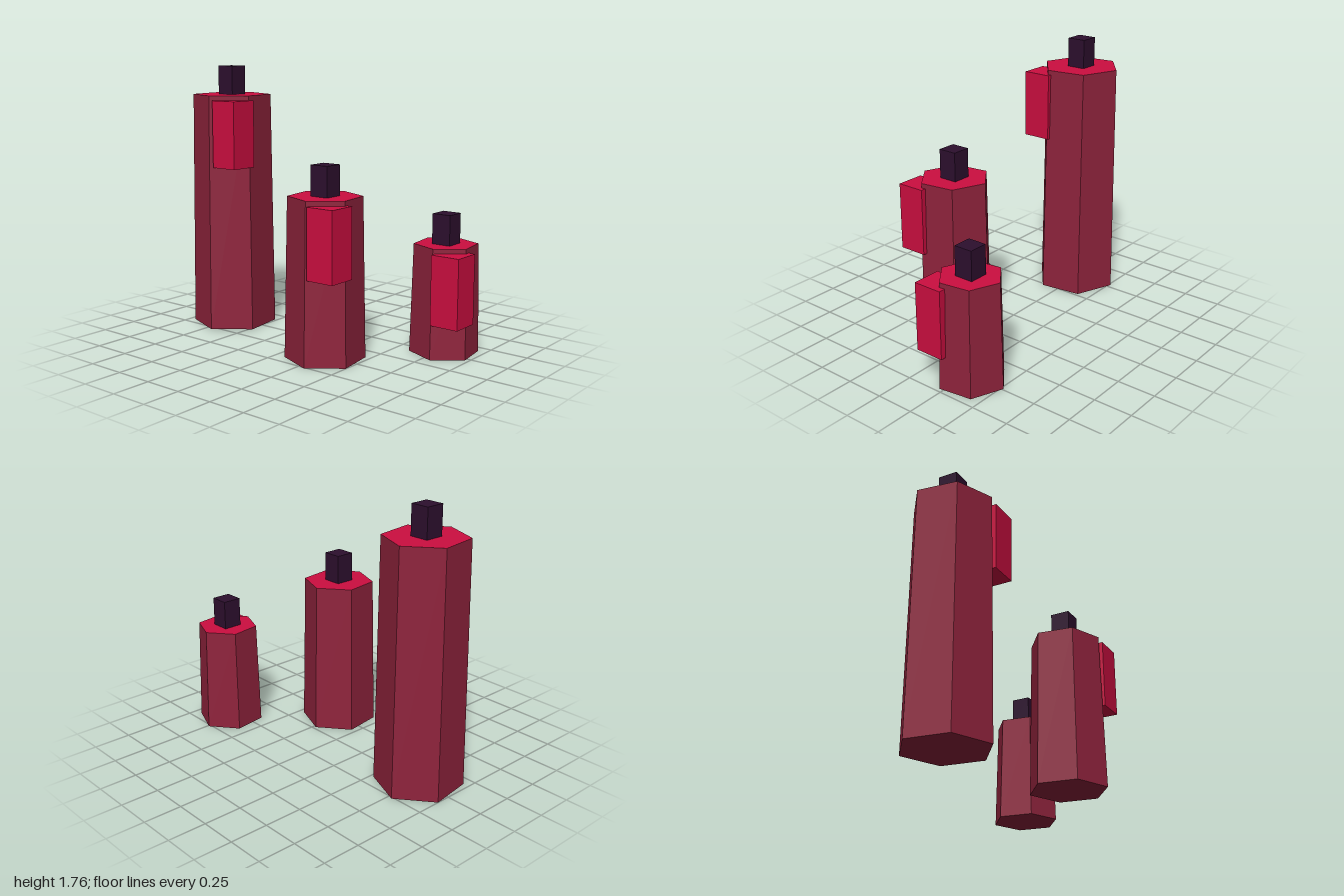
import * as THREE from 'three';

const flat = (name, color) => {
  const m = new THREE.MeshStandardMaterial({ color });
  m.name = name;
  m.flatShading = true;
  return m;
};

export function createModel() {
  const wax = flat('darkRedWax', 0x8f233c);
  const molten = flat('brightRedWax', 0xcc0e40);
  const soot = flat('darkWick', 0x2d0f2e);

  const model = new THREE.Group();
  model.name = 'candles';

  const addBox = (group, name, size, pos, material) => {
    const mesh = new THREE.Mesh(new THREE.BoxGeometry(...size), material);
    mesh.name = name;
    mesh.position.set(...pos);
    group.add(mesh);
  };

  // Tapered hexagonal candle with molten top, square wick and one wax drip
  const addCandle = (name, x, z, height, rTop, rBottom, dripOffset) => {
    const candle = new THREE.Group();
    candle.name = name;
    candle.position.set(x, 0, z);

    // material order: side, top, bottom
    const body = new THREE.Mesh(
      new THREE.CylinderGeometry(rTop, rBottom, height, 6), [wax, molten, wax]);
    body.name = 'candleBody';
    body.position.y = height / 2;
    body.rotation.y = 0.145;
    candle.add(body);

    addBox(candle, 'wick', [0.125, 0.19, 0.125], [0, height + 0.095, 0], soot);
    addBox(candle, 'waxDrip', [0.19, 0.44, 0.19],
      [dripOffset, height - 0.25, dripOffset], molten);
    model.add(candle);
  };

  addCandle('tallCandle', -0.74, 0.013, 1.575, 0.26, 0.28, 0.17);
  addCandle('mediumCandle', 0.267, 0.267, 1.01, 0.23, 0.25, 0.15);
  addCandle('shortCandle', 0.772, -0.302, 0.692, 0.2, 0.218, 0.131);

  return model;
}
